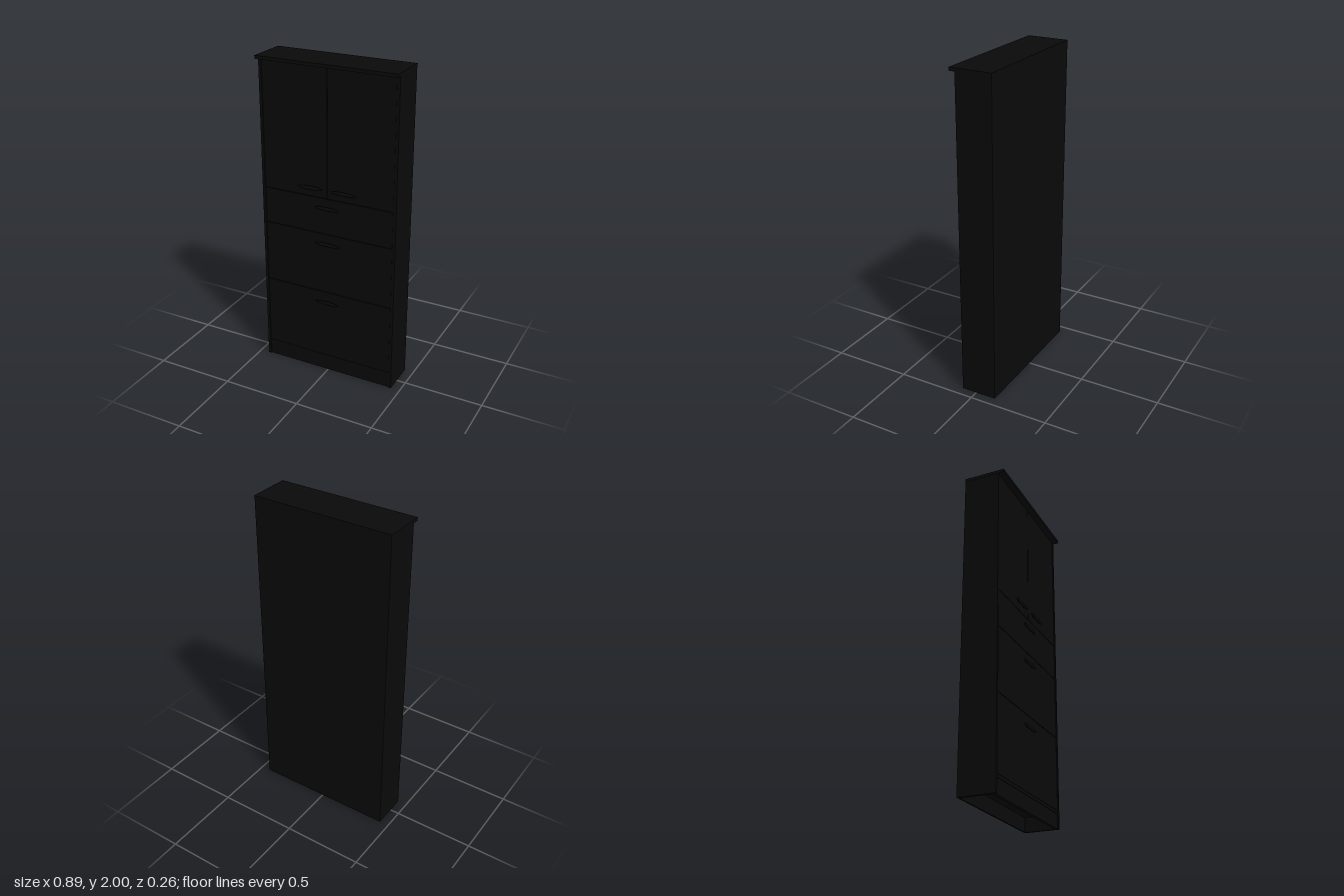
import * as THREE from 'three';

export function createModel() {
  const group = new THREE.Group();
  group.name = 'cabinet';
  const material = new THREE.MeshStandardMaterial({ color: 0x0a0a0a });

  // Box given by its limits on each axis
  function box(name, x0, x1, y0, y1, z0, z1) {
    const mesh = new THREE.Mesh(new THREE.BoxGeometry(x1 - x0, y1 - y0, z1 - z0), material);
    mesh.position.set((x0 + x1) / 2, (y0 + y1) / 2, (z0 + z1) / 2);
    mesh.name = name;
    group.add(mesh);
  }

  const W = 0.441, T = 0.018, IN = W - T;
  const BACK = -0.13, FRONT = 0.095, FACE = 0.092;

  // Carcass
  box('leftSide', IN, W, 0, 1.98, BACK, FRONT);
  box('rightSide', -W, -IN, 0, 1.98, BACK, FRONT);
  box('backPanel', -IN, IN, 0, 1.98, BACK, BACK + 0.01);
  box('topBoard', -0.443, 0.443, 1.98, 2, BACK, 0.13);
  box('bottomBoard', -IN, IN, 0.09, 0.108, BACK + 0.01, FACE);
  box('plinth', -IN, IN, 0, 0.09, FACE - 0.022, FACE - 0.004);

  // Shelves behind the joints between fronts
  for (const y of [0.565, 0.96, 1.19]) {
    box('shelf', -IN, IN, y - 0.009, y + 0.009, BACK + 0.01, FACE - 0.018);
  }

  // Doors and drawer fronts with narrow gaps
  const gap = 0.002, zf = FACE - 0.018;
  box('leftDoor', gap, IN - gap, 1.19 + gap, 1.978, zf, FACE);
  box('rightDoor', -IN + gap, -gap, 1.19 + gap, 1.978, zf, FACE);
  for (const [y0, y1] of [[0.108, 0.565], [0.565, 0.96], [0.96, 1.19]]) {
    box('drawerFront', -IN + gap, IN - gap, y0 + gap, y1 - gap, zf, FACE);
  }

  // Oval pulls, each on a short neck
  const pull = new THREE.SphereGeometry(1, 28, 14);
  const neck = new THREE.CylinderGeometry(0.006, 0.006, 0.014, 12).rotateX(Math.PI / 2);
  for (const [x, y] of [[0.11, 1.245], [-0.11, 1.245], [0, 1.13], [0, 0.895], [0, 0.493]]) {
    const handle = new THREE.Group();
    handle.name = 'handle';
    const grip = new THREE.Mesh(pull, material);
    grip.name = 'grip';
    grip.scale.set(0.08, 0.012, 0.007);
    grip.position.z = 0.011;
    handle.add(grip);
    for (const s of [-1, 1]) {
      const post = new THREE.Mesh(neck, material);
      post.name = 'post';
      post.position.set(s * 0.04, 0, 0.004);
      handle.add(post);
    }
    handle.position.set(x, y, FACE);
    group.add(handle);
  }

  return group;
}
